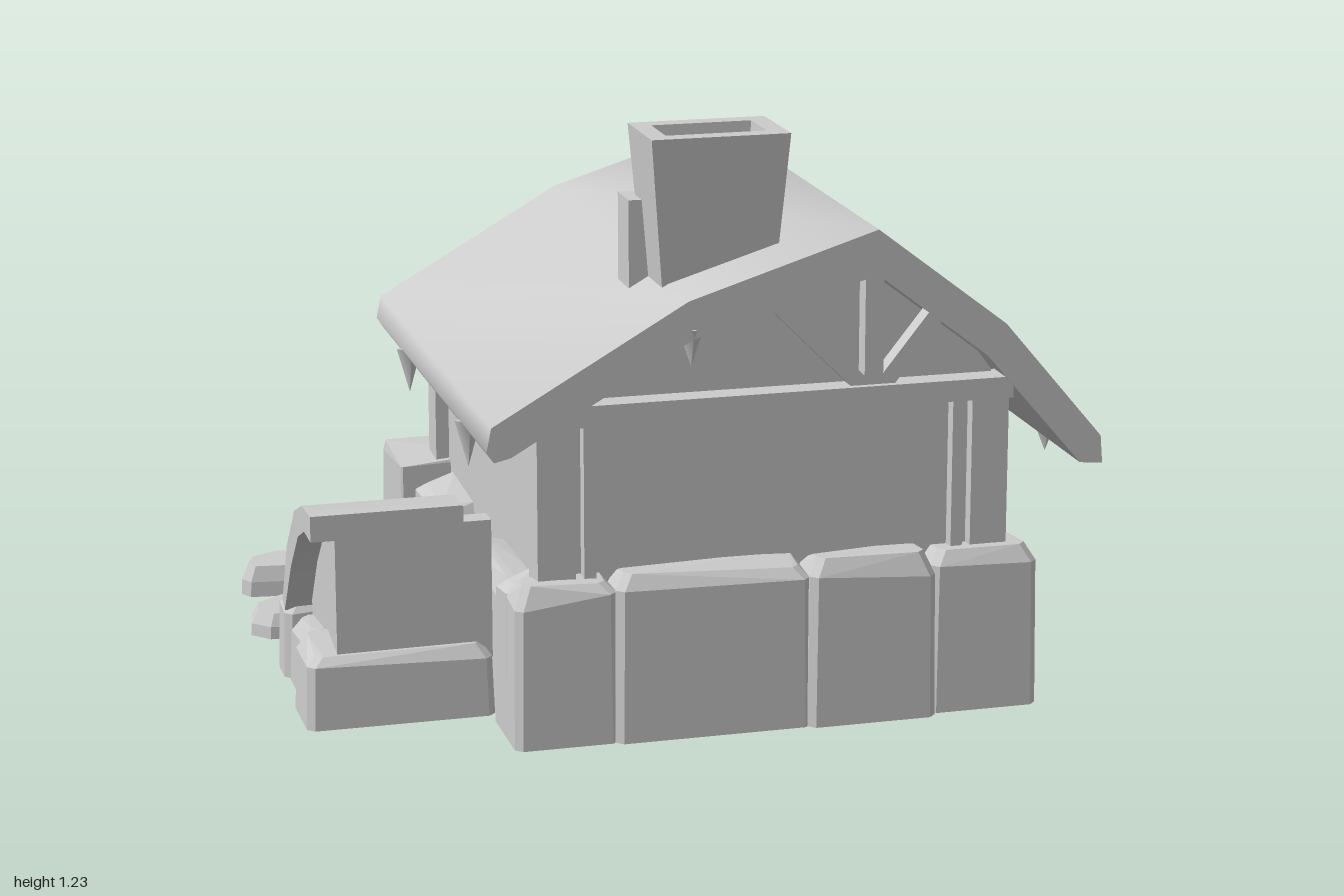
import * as THREE from 'three';
import { toCreasedNormals } from 'three/addons/utils/BufferGeometryUtils.js';
import { ConvexGeometry } from 'three/addons/geometries/ConvexGeometry.js';

export function createModel() {
  const model = new THREE.Group();
  model.name = 'cottage';
  const mat = new THREE.MeshStandardMaterial({ color: 0xcccccc, side: THREE.DoubleSide });
  mat.name = 'plain grey';

  let seed = 7;
  const rnd = () => ((seed = (seed * 16807) % 2147483647) / 2147483647) - 0.5;

  // The house is modelled square to its ridge (local x) and turned at the end.
  const house = new THREE.Group();
  house.name = 'house';
  house.rotation.y = THREE.MathUtils.degToRad(-40);
  model.add(house);

  const add = (name, geo, parent = house) => {
    const m = new THREE.Mesh(geo, mat);
    m.name = name;
    parent.add(m);
    return m;
  };
  const box = (name, x0, x1, y0, y1, z0, z1) =>
    add(name, new THREE.BoxGeometry(x1 - x0, y1 - y0, z1 - z0)
      .translate((x0 + x1) / 2, (y0 + y1) / 2, (z0 + z1) / 2));
  const poly = (pts) => new THREE.Shape(pts.map((p) => new THREE.Vector2(...p)));
  // Cross-section in (z, y), run along x from x0 to x1
  const along = (shape, x0, x1) =>
    new THREE.ExtrudeGeometry(shape, { depth: x1 - x0, bevelEnabled: false, curveSegments: 8 })
      .rotateY(-Math.PI / 2).translate(x1, 0, 0);
  const DOWN = new THREE.Vector3(0, -1, 0);
  // Opens a shell by leaving out the triangles that face the given directions
  const without = (geo, dirs) => {
    const p = geo.attributes.position, t = new THREE.Triangle(), n = new THREE.Vector3(), kept = [];
    for (let i = 0; i < p.count; i += 3) {
      t.setFromAttributeAndIndices(p, i, i + 1, i + 2);
      t.getNormal(n);
      if (dirs.every((d) => n.dot(d) < 0.9)) kept.push(t.a.clone(), t.b.clone(), t.c.clone());
    }
    const out = new THREE.BufferGeometry().setFromPoints(kept);
    out.computeVertexNormals();
    return out;
  };
  // Chamfered, slightly uneven block, open below and towards the house
  const stone = (name, x0, x1, z0, z1, h, inward = [0, 0], c = 0.03) => {
    const pts = [], cx = (x0 + x1) / 2, cz = (z0 + z1) / 2;
    const k = Math.min(c, (x1 - x0) * 0.3, (z1 - z0) * 0.3);
    for (const [y, inset] of [[0, 0], [h - k, 0.004], [h, k * 0.8]]) {
      const a = (x1 - x0) / 2 - inset, b = (z1 - z0) / 2 - inset, q = k * 0.5;
      for (const [sx, sz] of [[1, 1], [1, -1], [-1, 1], [-1, -1]]) {
        const dy = y ? rnd() * 0.025 : 0;
        // The side against the house stays upright
        const px = sx === inward[0] ? (x1 - x0) / 2 : a, pz = sz === inward[1] ? (z1 - z0) / 2 : b;
        pts.push(new THREE.Vector3(cx + sx * px, y + dy, cz + sz * (pz - q)),
          new THREE.Vector3(cx + sx * (px - q), y + dy, cz + sz * pz));
      }
    }
    return add(name, without(new ConvexGeometry(pts),
      [DOWN, new THREE.Vector3(inward[0], 0, inward[1])]));
  };
  // Timber between two (z, y) points on a gable
  const strut = (name, x, a, b, w = 0.035, d = 0.04) => {
    const m = add(name, new THREE.BoxGeometry(d, Math.hypot(b[0] - a[0], b[1] - a[1]), w));
    m.position.set(x, (a[1] + b[1]) / 2, (a[0] + b[0]) / 2);
    m.rotation.x = Math.atan2(b[0] - a[0], b[1] - a[1]);
  };

  // Bent thatch roof, rounded over its slopes
  add('roof', toCreasedNormals(along(poly([
    [0.535, 0.612], [0.55, 0.635], [0.54, 0.685], [0.13, 0.92], [-0.27, 1.045], [-0.55, 0.83],
    [-0.765, 0.575], [-0.77, 0.515], [-0.72, 0.52], [-0.51, 0.765], [-0.27, 0.95], [0.12, 0.84], [0.5, 0.62],
  ]), -0.52, 0.65), 1.08));

  // Hanging tufts along the eaves and gable edges
  const tuft = (x, y, z, len) => add('roofTuft',
    new THREE.ConeGeometry(0.028, len, 4).rotateX(Math.PI).translate(x, y - len / 2, z));
  for (const x of [-0.24, 0.38]) {
    tuft(x, 0.63, 0.53, 0.1);
    tuft(x, 0.54, -0.745, 0.07);
  }
  for (const x of [-0.5, 0.63]) tuft(x, 0.86, 0.12, 0.08);

  // Plaster walls up to the underside of the roof, open below
  add('walls', without(along(poly([
    [-0.54, 0.26], [0.41, 0.26], [0.41, 0.67], [0.12, 0.84], [-0.27, 0.945], [-0.51, 0.76], [-0.54, 0.72],
  ]), -0.45, 0.59), [DOWN]));

  // Corner posts
  for (const [x0, x1] of [[-0.48, -0.4], [0.54, 0.62]]) {
    box('cornerPost', x0, x1, 0.26, 0.68, 0.36, 0.44);
    box('cornerPost', x0, x1, 0.26, 0.69, -0.57, -0.49);
  }
  // Gable frames: tie beam, inner posts, king post and struts
  for (const [x, s] of [[-0.47, -1], [0.61, 1]]) {
    box('tieBeam', x - 0.035, x + 0.035, 0.67, 0.715, -0.57, 0.45);
    if (s > 0) for (const z of [0.33, -0.46]) strut('innerPost', x - 0.01, [z, 0.3], [z, 0.67], 0.025);
    strut('kingPost', x, [-0.27, 0.71], [-0.27, 0.96], 0.04);
    strut('strut', x, [-0.25, 0.71], [-0.06, 0.9]);
    strut('strut', x, [-0.29, 0.71], [-0.41, 0.86]);
  }

  // Arched door with frame, hinges and step
  const arch = (r, y0, Type = THREE.Shape) => {
    const s = new Type();
    s.moveTo(-0.28 - r, y0);
    s.lineTo(-0.28 + r, y0);
    s.lineTo(-0.28 + r, 0.47);
    s.absarc(-0.28, 0.47, r, 0, Math.PI, false);
    return s;
  };
  const frame = arch(0.145, 0.02);
  frame.holes.push(arch(0.105, 0.03, THREE.Path));
  add('doorFrame', along(frame, -0.52, -0.44));
  add('door', along(arch(0.106, 0.02), -0.485, -0.44));
  for (const y of [0.42, 0.47]) box('hinge', -0.494, -0.48, y, y + 0.02, -0.38, -0.34);
  box('doorStep', -0.56, -0.45, 0, 0.03, -0.42, -0.14);

  // Eight-sided window with a cross bar
  const ring = (r, Type) => new Type(Array.from({ length: 8 }, (_, i) => {
    const a = (i + 0.5) * Math.PI / 4;
    return new THREE.Vector2(0.07 + r * Math.cos(a), 0.505 + r * Math.sin(a));
  }));
  const win = ring(0.09, THREE.Shape);
  win.holes.push(ring(0.068, THREE.Path));
  add('windowFrame', along(win, -0.495, -0.44));
  box('windowBar', -0.485, -0.44, 0.43, 0.58, 0.058, 0.082);
  box('wallLedge', -0.48, -0.44, 0.42, 0.44, 0.14, 0.34);

  // Stone footing, grouped by the direction that faces the house: x0, x1, z0, z1, height
  const footing = [
    [[-1, 0], [
      [0.56, 0.67, 0.28, 0.5, 0.34], [0.56, 0.68, -0.13, 0.29, 0.35], [0.56, 0.69, -0.4, -0.12, 0.35],
      [0.48, 0.67, -0.63, -0.39, 0.34]]],
    [[0, 1], [
      [0.2, 0.49, -0.63, -0.52, 0.3], [-0.06, 0.21, -0.66, -0.52, 0.32], [-0.32, -0.05, -0.64, -0.52, 0.33],
      [-0.55, -0.31, -0.65, -0.46, 0.29]]],
    [[1, 0], [
      [-0.57, -0.42, -0.53, -0.42, 0.28], [-0.58, -0.43, -0.14, 0.1, 0.3], [-0.56, -0.43, 0.09, 0.31, 0.26]]],
    [[0, -1], [
      [-0.39, -0.12, 0.39, 0.5, 0.29], [-0.13, 0.14, 0.39, 0.49, 0.27], [0.13, 0.48, 0.39, 0.49, 0.3],
      [0.46, 0.59, 0.39, 0.5, 0.33]]],
  ];
  for (const [inward, row] of footing)
    for (const f of row) stone('footingStone', ...f, inward);
  stone('footingCorner', -0.605, -0.38, 0.3, 0.53, 0.32, [0, 0], 0.01);
  // Loose stones at the foot of the wall
  for (const f of [
    [-0.64, -0.52, -0.72, -0.61, 0.15], [-0.6, -0.54, -0.1, 0, 0.1], [-0.62, -0.52, 0.16, 0.27, 0.1],
  ]) stone('footStone', ...f);

  // Side shelter: low plinth, body filling the curve and bent canopy
  stone('shelterPlinth', 0.09, 0.28, 0.49, 0.87, 0.15);
  stone('shelterPlinth', 0.27, 0.44, 0.49, 0.89, 0.16);
  stone('shelterStone', 0.0, 0.1, 0.76, 0.88, 0.17);
  stone('shelterStone', 0.0, 0.11, 0.49, 0.7, 0.15);
  const slab = (pts, z0, z1) => new THREE.ExtrudeGeometry(poly(pts),
    { depth: z1 - z0, bevelEnabled: false }).translate(0, 0, z0);
  add('shelterBody', without(slab([
    [0.11, 0.12], [0.41, 0.12], [0.41, 0.42], [0.36, 0.42], [0.28, 0.38], [0.19, 0.29], [0.11, 0.18],
  ], 0.49, 0.82), [DOWN]));
  add('shelterCanopy', toCreasedNormals(slab([
    [0.08, 0.15], [0.18, 0.28], [0.28, 0.375], [0.36, 0.41], [0.44, 0.41],
    [0.44, 0.465], [0.34, 0.46], [0.24, 0.42], [0.13, 0.31], [0.055, 0.17],
  ], 0.555, 0.875), 0.8));

  // Flared chimney with an open flue
  const flue = (name, x0, x1, z0, z1) => {
    const s = poly([[x0, z0], [x1, z0], [x1, z1], [x0, z1]]);
    const i = 0.04;
    s.holes.push(new THREE.Path([[x0 + i, z0 + i], [x0 + i, z1 - i], [x1 - i, z1 - i], [x1 - i, z0 + i]]
      .map((p) => new THREE.Vector2(...p))));
    const g = new THREE.ExtrudeGeometry(s, { depth: 0.38, bevelEnabled: false })
      .rotateX(Math.PI / 2).translate(0, 1.225, 0);
    const p = g.attributes.position, cx = (x0 + x1) / 2, cz = (z0 + z1) / 2;
    for (let n = 0; n < p.count; n++) {
      if (p.getY(n) > 1) continue;
      p.setX(n, cx + (p.getX(n) - cx) * 0.75);
      p.setZ(n, cz + (p.getZ(n) - cz) * 0.78);
    }
    g.computeVertexNormals();
    add(name, g);
  };
  flue('chimney', 0.315, 0.51, -0.125, 0.17);
  box('chimneyStub', 0.29, 0.38, 0.85, 1.075, 0.08, 0.185);

  // Stepping stones in model axes: x, z, length, width, heading, height
  const steps = [
    [-0.78, -0.75, 0.18, 0.09, 1.05, 0.04], [-0.445, -0.865, 0.23, 0.1, -0.95, 0.045],
    [-0.58, -0.7, 0.16, 0.1, -1.0, 0.04], [-0.4, -0.715, 0.11, 0.05, 1.35, 0.03],
    [-0.6, -0.52, 0.25, 0.15, -1.1, 0.045], [-0.35, -0.57, 0.31, 0.14, -0.95, 0.045],
    [-0.92, 0.255, 0.2, 0.13, -1.1, 0.07], [-0.71, 0.46, 0.21, 0.16, -1.2, 0.055],
  ];
  for (const [x, z, l, w, a, h] of steps) {
    const pts = [];
    for (let i = 0; i < 8; i++) {
      const t = i * Math.PI / 4 + rnd() * 0.4, r = 1.03 + rnd() * 0.15;
      for (const [y, k] of [[0, 1], [h * 0.5, 0.98], [h, 0.82]])
        pts.push(new THREE.Vector3(Math.cos(t) * l / 2 * r * k, y, Math.sin(t) * w / 2 * r * k));
    }
    const m = add('steppingStone', new ConvexGeometry(pts), model);
    m.position.set(x, 0, z);
    m.rotation.y = -a;
  }
  return model;
}
